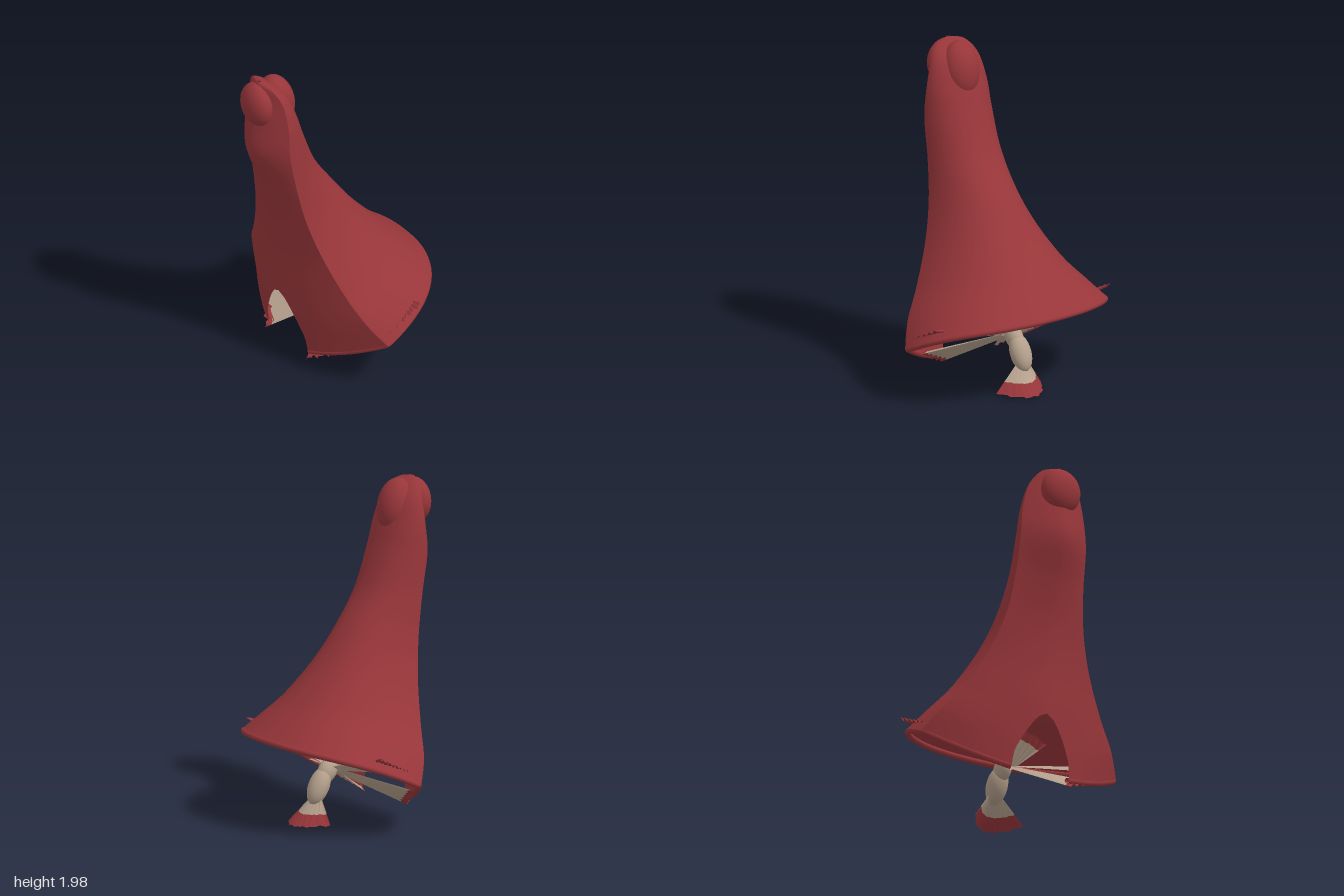
import * as THREE from 'three';
import { mergeVertices } from 'three/addons/utils/BufferGeometryUtils.js';

const red = new THREE.MeshStandardMaterial({ color: 0x98363a, side: THREE.DoubleSide });
const beige = new THREE.MeshStandardMaterial({ color: 0xb5a08c, side: THREE.DoubleSide });
const V = (x, y, z) => new THREE.Vector3(x, y, z);

// Cross-sections from tip to mouth:
// left x, left y, right x, right y, half width, x of the widest point
const SECTIONS = [
  [-0.48, 2.0, -0.465, 2.0, 0.01, -0.472],
  [-0.49, 1.975, -0.4, 1.97, 0.105, -0.45],
  [-0.505, 1.88, -0.325, 1.89, 0.168, -0.42],
  [-0.53, 1.72, -0.265, 1.74, 0.208, -0.41],
  [-0.54, 1.53, -0.21, 1.58, 0.222, -0.41],
  [-0.455, 1.3, -0.12, 1.36, 0.23, -0.37],
  [-0.385, 1.05, 0.02, 1.15, 0.262, -0.32],
  [-0.352, 0.8, 0.16, 0.96, 0.337, -0.26],
  [-0.342, 0.55, 0.33, 0.77, 0.455, -0.19],
  [-0.325, 0.33, 0.46, 0.65, 0.577, -0.12],
  [-0.305, 0.11, 0.562, 0.56, 0.668, -0.03],
];
const LAST = SECTIONS.length - 1, STEPS = 8, COLS = 96;

// Smooth interpolation of the section table
function sectionAt(t) {
  const i = Math.min(Math.floor(t), LAST - 1), f = t - i;
  const s = (k) => SECTIONS[Math.max(0, Math.min(LAST, k))];
  return s(i).map((p1, c) => {
    const p0 = s(i - 1)[c], p2 = s(i + 1)[c], p3 = s(i + 2)[c];
    return 0.5 * (2 * p1 + (p2 - p0) * f + (2 * p0 - 5 * p1 + 4 * p2 - p3) * f * f
      + (3 * p1 - p0 - 3 * p2 + p3) * f * f * f);
  });
}

// Point on the bell: round on the wide side, flattened with a ridge on the notched side.
// v runs round it from one side of the notch to the other
function bellPoint(t, v) {
  const [xl, yl, xr, yr, w, xc] = sectionAt(t);
  const notch = 0.3 * Math.sqrt(Math.max(0, Math.min(1, (t - 8.25) / 1.2)));
  const angle = (2 * v - 1) * (Math.PI - notch);
  const c = Math.cos(angle), s = Math.sin(angle), a = Math.abs(s);
  const x = c > 0 ? xc + (xr - xc) * c : xl + (xc - xl) * a ** 1.6;
  const z = w * Math.sign(s) * (c > 0 ? a ** 0.87 : a);
  const y = yl + (yr - yl) * ((x - xl) / (xr - xl) + 0.2 * s * s);
  return V(x, y, z);
}

function surface(points, index) {
  let g = new THREE.BufferGeometry().setFromPoints(points);
  g.setIndex(index);
  g = mergeVertices(g, 1e-5);
  g.computeVertexNormals();
  return g;
}

function add(parent, name, geometry, material) {
  const m = new THREE.Mesh(geometry, material);
  m.name = name;
  parent.add(m);
  return m;
}

// Bell, closed above and split by the notch near the mouth
function bellGeometry() {
  const rows = LAST * STEPS, pts = [], idx = [];
  for (let r = 0; r <= rows; r++)
    for (let c = 0; c <= COLS; c++) pts.push(bellPoint(r / STEPS, c / COLS));
  for (let r = 0; r < rows; r++)
    for (let c = 0; c < COLS; c++) {
      const a = r * (COLS + 1) + c, b = a + COLS + 1;
      idx.push(a, a + 1, b, a + 1, b + 1, b);
    }
  return surface(pts, idx);
}

// Rolled lip just inside the mouth, ending at the notch
function lipGeometry() {
  const pts = [], middle = V(0.13, 0.34, 0);
  for (let i = 0; i <= 60; i++) pts.push(bellPoint(LAST, i / 60).lerp(middle, 0.03));
  return new THREE.TubeGeometry(new THREE.CatmullRomCurve3(pts), 120, 0.018, 10);
}

// Pleated fan: from base to end, spread by +-side; bow moves the outer edges, split is where red starts
function fan(parent, name, base, end, side, bow, split) {
  const group = new THREE.Group();
  group.name = name;
  const pleats = 20;
  const normal = end.clone().sub(base).cross(side).normalize();
  const point = (u, i) => {
    const s = i / pleats * 2 - 1;
    const jag = 1 - 0.04 * ((i * 5) % 4) / 3 * u;
    return base.clone().lerp(end, u * jag)
      .addScaledVector(side, s * (0.25 + 0.75 * u))
      .addScaledVector(bow, s * s * u)
      .addScaledVector(normal, (i % 2 ? 1 : -1) * 0.007 * u);
  };
  for (const [part, u0, u1, material] of [['pleats', 0, split, beige], ['fanTip', split, 1, red]]) {
    const pts = [], idx = [];
    for (let i = 0; i < pleats; i++) {
      const n = pts.length;
      pts.push(point(u0, i), point(u0, i + 1), point(u1, i), point(u1, i + 1));
      idx.push(n, n + 2, n + 1, n + 1, n + 2, n + 3);
    }
    add(group, part, surface(pts, idx), material);
  }
  parent.add(group);
}

function ellipsoid(parent, name, material, pos, size, tilt) {
  const m = add(parent, name, new THREE.SphereGeometry(1, 32, 20), material);
  m.position.set(...pos);
  m.scale.set(...size);
  m.rotation.z = tilt;
}

export function createModel() {
  const model = new THREE.Group();
  model.name = 'bellFlower';

  add(model, 'bell', bellGeometry(), red);
  add(model, 'lip', lipGeometry(), red);

  // Rounded swellings on both sides of the thin tip
  ellipsoid(model, 'frontSwelling', red, [-0.352, 1.835, 0], [0.102, 0.165, 0.113], 0.22);
  ellipsoid(model, 'backSwelling', red, [-0.49, 1.85, 0], [0.08, 0.135, 0.125], 0);

  // Pistil hanging from the mouth
  ellipsoid(model, 'pistil', beige, [0.205, 0.245, 0], [0.06, 0.115, 0.064], 0.45);
  ellipsoid(model, 'pistilNeck', beige, [0.145, 0.325, 0], [0.058, 0.08, 0.05], 0.6);

  // Pleated fans around the pistil; the side fans pierce the bell
  const centre = V(0.1, 0.33, 0), flat = V(0, 0, 0);
  for (const s of [1, -1]) {
    fan(model, 'sideFan', centre, V(0.12, 0.475, 0.645 * s), V(0.12, 0.06, 0), flat, 0.88);
    fan(model, 'backFan', centre, V(-0.2, 0.18, 0.36 * s), V(0.09, 0.08, 0.16 * s), flat, 0.92);
  }
  fan(model, 'innerFan', centre, V(-0.02, 0.53, 0), V(0, 0, 0.21), V(0.02, -0.05, 0), 0.75);
  fan(model, 'hangingFan', V(0.22, 0.19, 0), V(0.38, 0.025, 0.03), V(0, 0, 0.165), V(-0.16, 0.01, 0), 0.6);

  return model;
}
